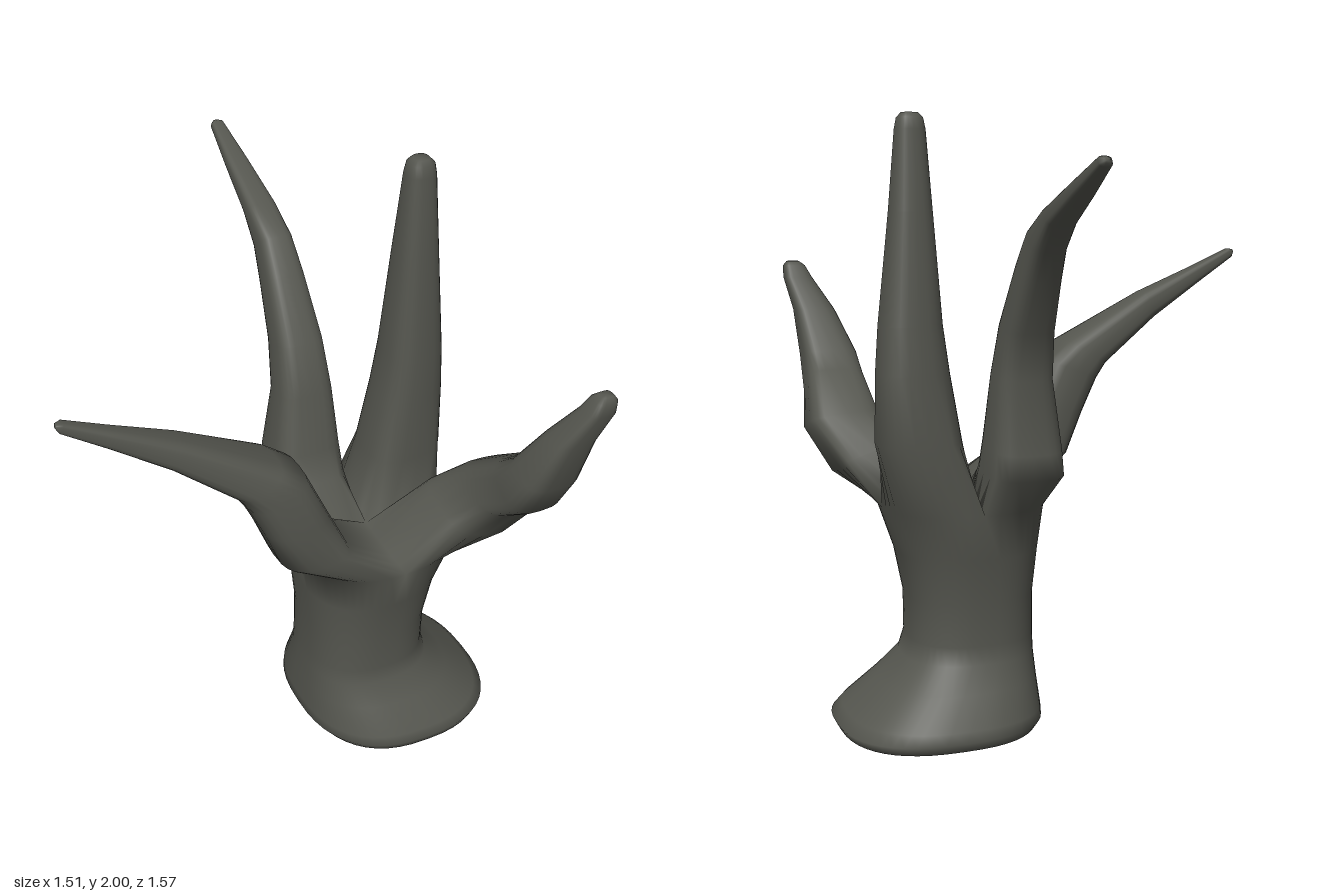
import * as THREE from 'three';

const SIDES = 24;         // points around a branch
const TRUNK = SIDES * 2;  // points around the trunk, one quarter per branch
const Q = TRUNK / 4;

// Level ring from height and x, z ranges; skew slides the +x side toward -z
const level = ([y, x0, x1, z0, z1, skew = 0]) => [
  [(x0 + x1) / 2, y, (z0 + z1) / 2], [(x1 - x0) / 2, 0, -skew], [0, 0, (z1 - z0) / 2]];

// Ring tilted in the x-y plane: upper point, lower point, z range
const tiltX = ([xa, ya, xb, yb, z0, z1]) => [
  [(xa + xb) / 2, (ya + yb) / 2, (z0 + z1) / 2],
  [(xa - xb) / 2, (ya - yb) / 2, 0], [0, 0, (z1 - z0) / 2]];

// Ring tilted in the z-y plane: upper point, lower point, x range
const tiltZ = ([za, ya, zb, yb, x0, x1]) => [
  [(x0 + x1) / 2, (ya + yb) / 2, (za + zb) / 2],
  [(x1 - x0) / 2, 0, 0], [0, (ya - yb) / 2, (za - zb) / 2]];

// Trunk with a foot spreading to the left
const trunkRings = [
  [0, 0.13, 0.67, -0.13, 0.47],
  [0.012, 0.08, 0.72, -0.165, 0.505],
  [0.04, 0.058, 0.735, -0.175, 0.515],
  [0.075, 0.06, 0.7, -0.165, 0.505],
  [0.17, 0.068, 0.59, -0.1, 0.44],
  [0.25, 0.073, 0.51, -0.052, 0.392],
  [0.31, 0.075, 0.49, -0.045, 0.385],
  [0.45, 0.075, 0.49, -0.048, 0.387],
  [0.6, 0.06, 0.52, -0.07, 0.4],
  [0.75, 0.04, 0.57, -0.1, 0.432],
].map(level);
const CROTCH = [0.3, 0.772, 0.167];

// Crooked branch bending left, then forward and up
const frontBranch = [
  [[0.567, 0.89, 0.35], [0.113, -0.037, 0], [0, -0.037, 0.12]],
  [[0.637, 1.005, 0.43], [0.119, -0.01, 0], [0, -0.035, 0.112]],
  [[0.628, 1.115, 0.572], [0.098, 0, 0], [0, -0.052, 0.082]],
  [[0.63, 1.21, 0.64], [0.092, 0, 0], [0, -0.015, 0.082]],
  [[0.664, 1.36, 0.695], [0.068, 0, 0], [0, 0, 0.06]],
  [[0.708, 1.47, 0.743], [0.047, 0, 0], [0, 0, 0.042]],
  [[0.718, 1.51, 0.75], [0.036, 0, 0], [0, 0, 0.033]],
  [[0.722, 1.525, 0.752], [0.02, 0, 0], [0, 0, 0.018]],
];

// Branch reaching out to the right
const rightBranch = [
  [0.13, 0.885, -0.105, 0.88, 0.17, 0.43],
  [0.05, 1.05, -0.162, 1.02, 0.17, 0.43],
  [-0.02, 1.2, -0.215, 1.13, 0.175, 0.42],
  [-0.1, 1.26, -0.25, 1.18, 0.185, 0.405],
  [-0.4, 1.42, -0.44, 1.33, 0.23, 0.35],
  [-0.6, 1.505, -0.62, 1.45, 0.252, 0.318],
  [-0.735, 1.565, -0.75, 1.535, 0.264, 0.304],
  [-0.755, 1.563, -0.758, 1.55, 0.275, 0.295],
].map(tiltX);

// Branch curving backward
const backBranch = [
  [0.06, 0.9, -0.2, 0.87, 0.05, 0.3],
  [0.02, 1.0, -0.2, 0.95, 0.06, 0.295],
  [-0.02, 1.2, -0.18, 1.18, 0.09, 0.275],
  [-0.08, 1.36, -0.23, 1.33, 0.105, 0.265],
  [-0.2, 1.55, -0.32, 1.49, 0.12, 0.25],
  [-0.28, 1.65, -0.38, 1.58, 0.13, 0.242],
  [-0.4, 1.71, -0.47, 1.66, 0.138, 0.237],
  [-0.6, 1.785, -0.63, 1.74, 0.153, 0.226],
  [-0.765, 1.85, -0.78, 1.82, 0.168, 0.21],
  [-0.785, 1.845, -0.788, 1.83, 0.18, 0.199],
].map(tiltZ);

// Tall upright stem
const tallBranch = [
  [0.98, 0.345, 0.62, -0.105, 0.16, 0.015],
  [1.2, 0.38, 0.615, -0.085, 0.148, 0.018],
  [1.35, 0.4, 0.603, -0.07, 0.14, 0.015],
  [1.7, 0.425, 0.56, -0.03, 0.12, 0.005],
  [1.95, 0.443, 0.537, 0, 0.093],
  [1.985, 0.45, 0.53, 0.006, 0.087],
  [2.0, 0.465, 0.515, 0.02, 0.075],
].map(level);

// One continuous skin: the trunk top is split into quarters and each grows a branch
function buildSkin() {
  const pos = [], index = [];
  const addPoint = (p) => pos.push(...p) / 3 - 1;

  // Rounded-square ring [centre, u, v]; n sets how square it is
  const addRing = ([c, u, v], count, n) => Array.from({ length: count }, (_, i) => {
    const t = (i / count) * Math.PI * 2, a = Math.cos(t), b = Math.sin(t);
    const p = Math.sign(a) * Math.abs(a) ** (2 / n);
    const q = Math.sign(b) * Math.abs(b) ** (2 / n);
    return addPoint(c.map((s, k) => s + u[k] * p + v[k] * q));
  });
  const bridge = (a, b) => a.forEach((p, i) => {
    const j = (i + 1) % a.length;
    index.push(p, b[i], b[j], p, b[j], a[j]);
  });
  const cap = (ring, centre, up) => {
    const mid = addPoint(centre);
    ring.forEach((p, i) => {
      const next = ring[(i + 1) % ring.length];
      index.push(mid, up ? next : p, up ? p : next);
    });
  };

  // Trunk and its flat underside
  const trunk = trunkRings.map((r) => addRing(r, TRUNK, 2.5));
  trunk.slice(1).forEach((ring, i) => bridge(trunk[i], ring));
  cap(addRing(trunkRings[0], TRUNK, 2.5), trunkRings[0][0], false);

  // Valleys running from the trunk rim to the crotch
  const rim = trunk[trunk.length - 1];
  const crotch = addPoint(CROTCH);
  const steps = Q / 2;
  const valleys = [0, 1, 2, 3].map((q) => {
    const start = pos.slice(rim[q * Q] * 3, rim[q * Q] * 3 + 3);
    return Array.from({ length: steps - 1 }, (_, i) =>
      addPoint(start.map((s, k) => s + (CROTCH[k] - s) * (i + 1) / steps)));
  });

  // Branches in order around the trunk, starting from the front left
  const branches = [[frontBranch, 3.3], [rightBranch, 3], [backBranch, 3.2], [tallBranch, 2.6]];
  branches.forEach(([rings, n], q) => {
    const outline = [
      ...rim.slice(q * Q, q * Q + Q), rim[((q + 1) * Q) % TRUNK],
      ...valleys[(q + 1) % 4], crotch, ...[...valleys[q]].reverse(),
    ];
    // Line the outline up with the branch ring angles
    const shift = SIDES / 8 - (SIDES / 4) * q;
    let last = outline.map((_, i) => outline[(i + shift + SIDES) % SIDES]);
    rings.forEach((r) => {
      const ring = addRing(r, SIDES, n);
      bridge(last, ring);
      last = ring;
    });
    cap(last, rings[rings.length - 1][0], true);
  });

  const geo = new THREE.BufferGeometry();
  geo.setAttribute('position', new THREE.Float32BufferAttribute(pos, 3));
  geo.setIndex(index);
  geo.computeVertexNormals();
  return geo;
}

export function createModel() {
  const bark = new THREE.MeshStandardMaterial({ color: 0x55564f });
  bark.name = 'dark bark';
  const tree = new THREE.Mesh(buildSkin(), bark);
  tree.name = 'trunkAndBranches';
  const group = new THREE.Group();
  group.name = 'deadTree';
  group.add(tree);
  return group;
}
